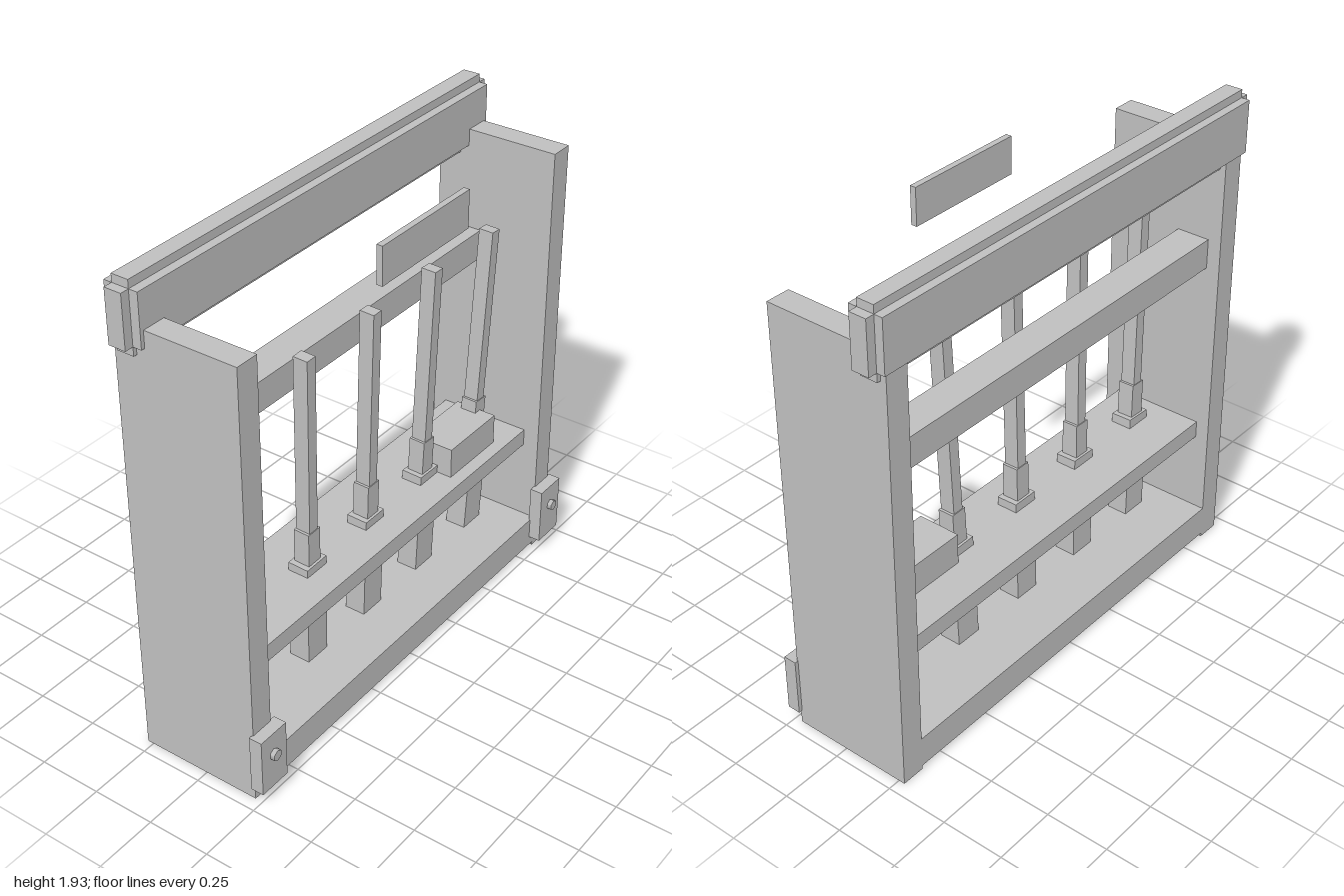
import * as THREE from 'three';

export function createModel() {
  const model = new THREE.Group();
  model.name = 'leverRack';
  const grey = new THREE.MeshStandardMaterial({ color: 0xbfbfbf });
  grey.name = 'plain grey';

  // Box given by its extents on each axis
  function box(name, [x0, x1], [y0, y1], [z0, z1], parent = model) {
    const mesh = new THREE.Mesh(new THREE.BoxGeometry(x1 - x0, y1 - y0, z1 - z0), grey);
    mesh.position.set((x0 + x1) / 2, (y0 + y1) / 2, (z0 + z1) / 2);
    mesh.name = name;
    parent.add(mesh);
    return mesh;
  }

  // Side panels with bolted front brackets
  for (const [side, s] of [['left', 1], ['right', -1]]) {
    const span = (a, b) => (s > 0 ? [a, b] : [-b, -a]);
    box(side + 'Panel', span(0.855, 0.95), [0, 1.755], [-0.275, 0.22]);
    box(side + 'Bracket', span(0.83, 0.965), [0.055, 0.29], [0.215, 0.267]);
    const bolt = new THREE.Mesh(new THREE.CylinderGeometry(0.022, 0.022, 0.03, 6), grey);
    bolt.geometry.rotateX(Math.PI / 2);
    bolt.position.set(s * 0.9, 0.2, 0.27);
    bolt.name = side + 'Bolt';
    model.add(bolt);
  }

  // Base, shelf and rear rail
  box('base', [-0.855, 0.855], [0.015, 0.14], [-0.275, 0.22]);
  box('shelf', [-0.855, 0.855], [0.47, 0.54], [-0.22, 0.155]);
  box('rearRail', [-0.855, 0.855], [1.235, 1.355], [-0.22, -0.085]);

  // Top beam with stepped edges
  const beam = new THREE.Group();
  beam.name = 'topBeam';
  model.add(beam);
  box('beamLength', [-1, 1], [1.69, 1.895], [-0.252, -0.183], beam);
  box('beamHeight', [-0.965, 0.965], [1.655, 1.927], [-0.252, -0.183], beam);
  box('beamDepth', [-0.965, 0.965], [1.69, 1.895], [-0.285, -0.148], beam);

  // Sign plate and the block on the shelf
  box('signPlate', [-0.25, 0.25], [1.72, 1.867], [0.224, 0.248]);
  box('shelfBlock', [0.41, 0.71], [0.54, 0.665], [-0.07, 0.103]);

  // Fanned levers leaning slightly forward
  const pivot = 0.45;
  for (let i = -2; i <= 2; i++) {
    const lever = new THREE.Group();
    lever.name = 'lever' + (i + 3);
    lever.position.set(i * 0.35, pivot, -0.004);
    lever.rotation.set(0.025, 0, -i * 0.025);
    box('foot', [-0.055, 0.055], [0.1 - pivot, 0.575 - pivot], [-0.043, 0.043], lever);
    box('sleeve', [-0.033, 0.033], [0.575 - pivot, 0.715 - pivot], [-0.033, 0.033], lever);
    box('rod', [-0.023, 0.023], [0.715 - pivot, 1.44 - pivot], [-0.03, 0.03], lever);
    model.add(lever);
  }

  return model;
}
